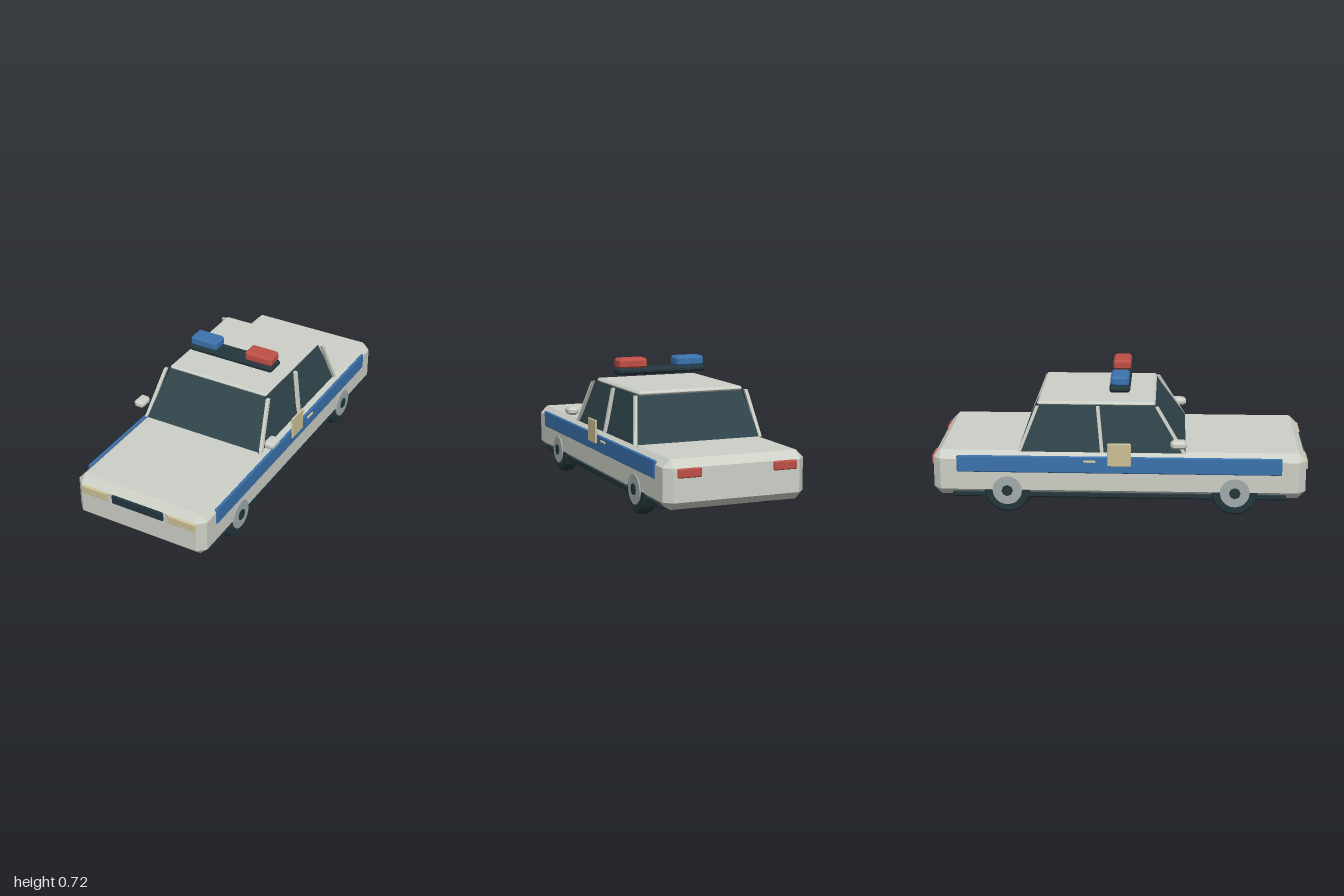
import * as THREE from 'three';
import { ConvexGeometry } from 'three/addons/geometries/ConvexGeometry.js';

const mat = (name, color) => {
  const m = new THREE.MeshStandardMaterial({ color });
  m.name = name;
  m.flatShading = true;
  return m;
};

// Box between two corners with every edge cut off by c
function chamferBox([x0, x1], [y0, y1], [z0, z1], c) {
  const pts = [];
  for (const [x, sx] of [[x0, 1], [x1, -1]])
    for (const [y, sy] of [[y0, 1], [y1, -1]])
      for (const [z, sz] of [[z0, 1], [z1, -1]])
        pts.push(
          new THREE.Vector3(x, y + sy * c, z + sz * c),
          new THREE.Vector3(x + sx * c, y, z + sz * c),
          new THREE.Vector3(x + sx * c, y + sy * c, z));
  return new ConvexGeometry(pts);
}

// Hull of horizontal rectangles, each [y, x0, x1, z0, z1]
function hull(sections) {
  const pts = [];
  for (const [y, x0, x1, z0, z1] of sections)
    for (const x of [x0, x1]) for (const z of [z0, z1]) pts.push(new THREE.Vector3(x, y, z));
  return new ConvexGeometry(pts);
}

export function createModel() {
  const car = new THREE.Group();
  car.name = 'patrolCar';
  const paint = mat('whitePaint', 0xcdd0c7);
  const glass = mat('darkGlass', 0x30454c);
  const black = mat('darkRubber', 0x22363c);
  const blue = mat('blue', 0x3a72ad);
  const red = mat('red', 0xbe5046);
  const cream = mat('cream', 0xccc196);
  const metal = mat('hubMetal', 0xa2abac);

  const add = (name, geometry, material) => {
    const mesh = new THREE.Mesh(geometry, material);
    mesh.name = name;
    car.add(mesh);
    return mesh;
  };
  // Same chamfered box on both sides; x range is given for the left side
  const addPair = (name, x, y, z, c, material) => {
    add(name + 'Left', chamferBox(x, y, z, c), material);
    add(name + 'Right', chamferBox([-x[1], -x[0]], y, z, c), material);
  };

  // Body, underside, cabin and roof
  add('body', chamferBox([-0.38, 0.38], [0.097, 0.345], [-0.987, 0.987], 0.04), paint);
  add('chassis', chamferBox([-0.37, 0.37], [0.09, 0.125], [-0.885, 0.885], 0.008), black);
  add('cabinGlass', hull([[0.34, -0.347, 0.347, -0.537, 0.355], [0.584, -0.293, 0.293, -0.425, 0.187]]), glass);
  add('roof', chamferBox([-0.295, 0.295], [0.578, 0.602], [-0.435, 0.19], 0.01), paint);

  // Window pillars: z at the foot and at the top
  const w = 0.009;
  for (const [name, zFoot, zTop] of [['front', 0.343, 0.198], ['middle', -0.09, -0.113], ['rear', -0.527, -0.432]])
    for (const s of [1, -1])
      add(name + 'Pillar' + (s > 0 ? 'Left' : 'Right'), hull([
        [0.343, s * 0.352 - w, s * 0.352 + w, zFoot - w, zFoot + w],
        [0.583, s * 0.313 - w, s * 0.313 + w, zTop - w, zTop + w]]), paint);

  // Front and rear faces
  addPair('headlight', [0.178, 0.338], [0.255, 0.306], [0.97, 0.996], 0.005, cream);
  add('grille', chamferBox([-0.152, 0.152], [0.255, 0.306], [0.97, 0.996], 0.005), black);
  addPair('taillight', [0.195, 0.32], [0.258, 0.304], [-1, -0.975], 0.005, red);

  // Side details
  addPair('sideStripe', [0.372, 0.387], [0.235, 0.327], [-0.858, 0.858], 0.005, blue);
  addPair('doorBadge', [0.384, 0.396], [0.277, 0.405], [-0.06, 0.064], 0.004, cream);
  addPair('doorHandle', [0.384, 0.394], [0.295, 0.308], [-0.187, -0.122], 0.003, cream);
  addPair('mirror', [0.37, 0.43], [0.385, 0.429], [0.272, 0.357], 0.014, paint);

  // Roof light bar
  add('lightBarBase', chamferBox([-0.254, 0.254], [0.64, 0.674], [-0.055, 0.055], 0.011), black);
  add('redBeacon', chamferBox([0.086, 0.248], [0.672, 0.727], [-0.049, 0.049], 0.012), red);
  add('blueBeacon', chamferBox([-0.248, -0.086], [0.672, 0.727], [-0.049, 0.049], 0.012), blue);

  // Wheels: tyre, hub and centre cap turned around the axle
  const tyreShape = [[0, -0.038], [0.114, -0.038], [0.124, -0.03], [0.131, 0], [0.124, 0.03], [0.114, 0.038], [0, 0.038]]
    .map(([r, h]) => new THREE.Vector2(r, h));
  const parts = [
    ['tyre', new THREE.LatheGeometry(tyreShape, 20), black, 0],
    ['hub', new THREE.CylinderGeometry(0.078, 0.078, 0.02, 20), metal, 0.036],
    ['hubCap', new THREE.CylinderGeometry(0.03, 0.03, 0.02, 8), black, 0.041],
  ];
  for (const s of [1, -1])
    for (const [end, z] of [['front', 0.613], ['rear', -0.592]]) {
      const wheel = new THREE.Group();
      wheel.name = end + 'Wheel' + (s > 0 ? 'Left' : 'Right');
      for (const [name, geometry, material, out] of parts) {
        const mesh = new THREE.Mesh(geometry, material);
        mesh.name = name;
        mesh.position.y = out;
        wheel.add(mesh);
      }
      wheel.rotation.z = -s * Math.PI / 2;
      wheel.position.set(s * 0.341, 0.134, z);
      car.add(wheel);
    }
  car.position.y = -0.003;
  return car;
}
